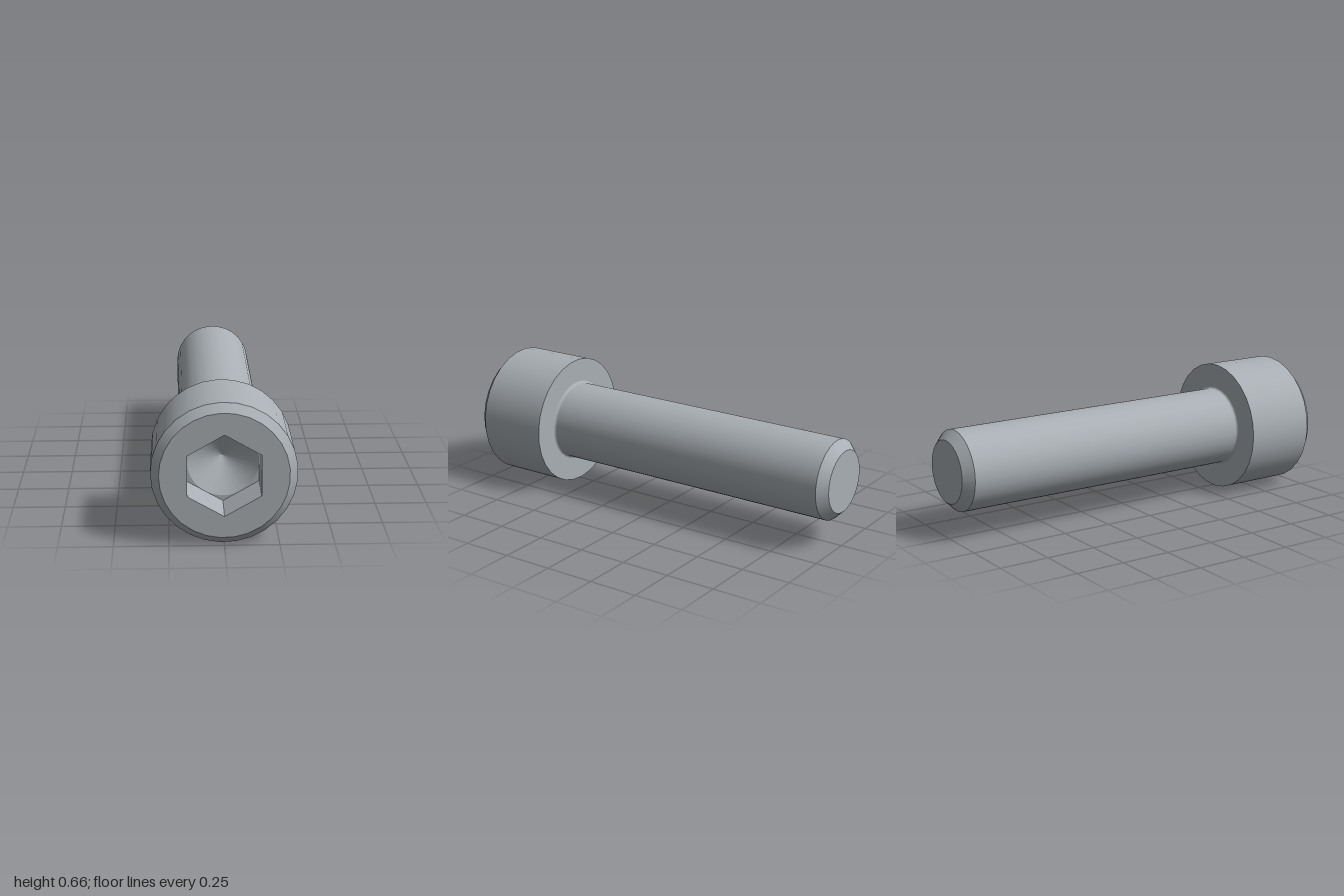
import * as THREE from 'three';
import { mergeGeometries } from 'three/addons/utils/BufferGeometryUtils.js';

const SIDES = 29;
const HEAD_R = 0.331, FACE_R = 0.293, SHANK_R = 0.2, TIP_R = 0.155, FILLET = 0.012;
const HEAD_BACK = 0.595, SOCKET_FLOOR = 0.8, HEX_FLAT = 0.166;
const HEX_CORNER = HEX_FLAT / Math.cos(Math.PI / 6);

// Turns [radius, z] points round the z axis; profiles running towards +z face outwards
function turned(points, sides = SIDES, start = -Math.PI / 2) {
  const profile = points.map(([r, z]) => new THREE.Vector2(r, z));
  return new THREE.LatheGeometry(profile, sides, start).rotateX(Math.PI / 2);
}

// Corner points of a regular polygon in the xy plane
function polygon(radius, sides, start) {
  return Array.from({ length: sides }, (_, i) => {
    const a = start + (i / sides) * Math.PI * 2;
    return new THREE.Vector2(radius * Math.cos(a), radius * Math.sin(a));
  });
}

// Flat plate facing +z with a hole through it
function pierced(outer, inner, z) {
  const shape = new THREE.Shape(outer);
  shape.holes.push(new THREE.Path(inner));
  return new THREE.ShapeGeometry(shape).translate(0, 0, z);
}

export function createModel() {
  const steel = new THREE.MeshStandardMaterial({ color: 0xa9afb4 });
  steel.name = 'steel';
  const bolt = new THREE.Group();
  bolt.name = 'socketHeadBolt';
  const add = (name, ...parts) => {
    const mesh = new THREE.Mesh(parts.length > 1 ? mergeGeometries(parts) : parts[0], steel);
    mesh.name = name;
    bolt.add(mesh);
  };
  const hexagon = polygon(HEX_CORNER, 6, Math.PI / 2);

  // Head: bearing face, side, chamfer and front face, each with sharp edges
  add('headBearingFace', turned([[SHANK_R + FILLET, HEAD_BACK], [HEAD_R, HEAD_BACK]]));
  add('headSide', turned([[HEAD_R, HEAD_BACK], [HEAD_R, 0.96]]));
  add('headChamfer', turned([[HEAD_R, 0.96], [FACE_R, 1]]));
  add('headFace', pierced(polygon(FACE_R, SIDES, Math.PI), hexagon, 1));

  // Hexagonal socket with a conical drilled bottom
  const walls = turned([[HEX_CORNER, 1], [HEX_CORNER, SOCKET_FLOOR]], 6, 0).toNonIndexed();
  walls.computeVertexNormals();
  add('socketWalls', walls);
  add('socketFloor', pierced(hexagon, polygon(HEX_FLAT, SIDES, Math.PI), SOCKET_FLOOR));
  add('socketCone', turned([[HEX_FLAT, SOCKET_FLOOR], [0, SOCKET_FLOOR - HEX_FLAT * Math.tan(Math.PI / 6)]]));

  // Shank with a small fillet under the head
  const fillet = [];
  for (let i = 0; i <= 4; i++) {
    const a = (i / 4) * Math.PI / 2;
    fillet.push([SHANK_R + FILLET * (1 - Math.cos(a)), HEAD_BACK - FILLET * (1 - Math.sin(a))]);
  }
  add('shank', turned([[SHANK_R, -0.955], [SHANK_R, HEAD_BACK - FILLET]]), turned(fillet));

  // Chamfered tip
  add('tipChamfer', turned([[TIP_R, -1], [SHANK_R, -0.955]]));
  add('tipFace', turned([[0, -1], [TIP_R, -1]]));

  bolt.position.y = HEAD_R;
  return bolt;
}
